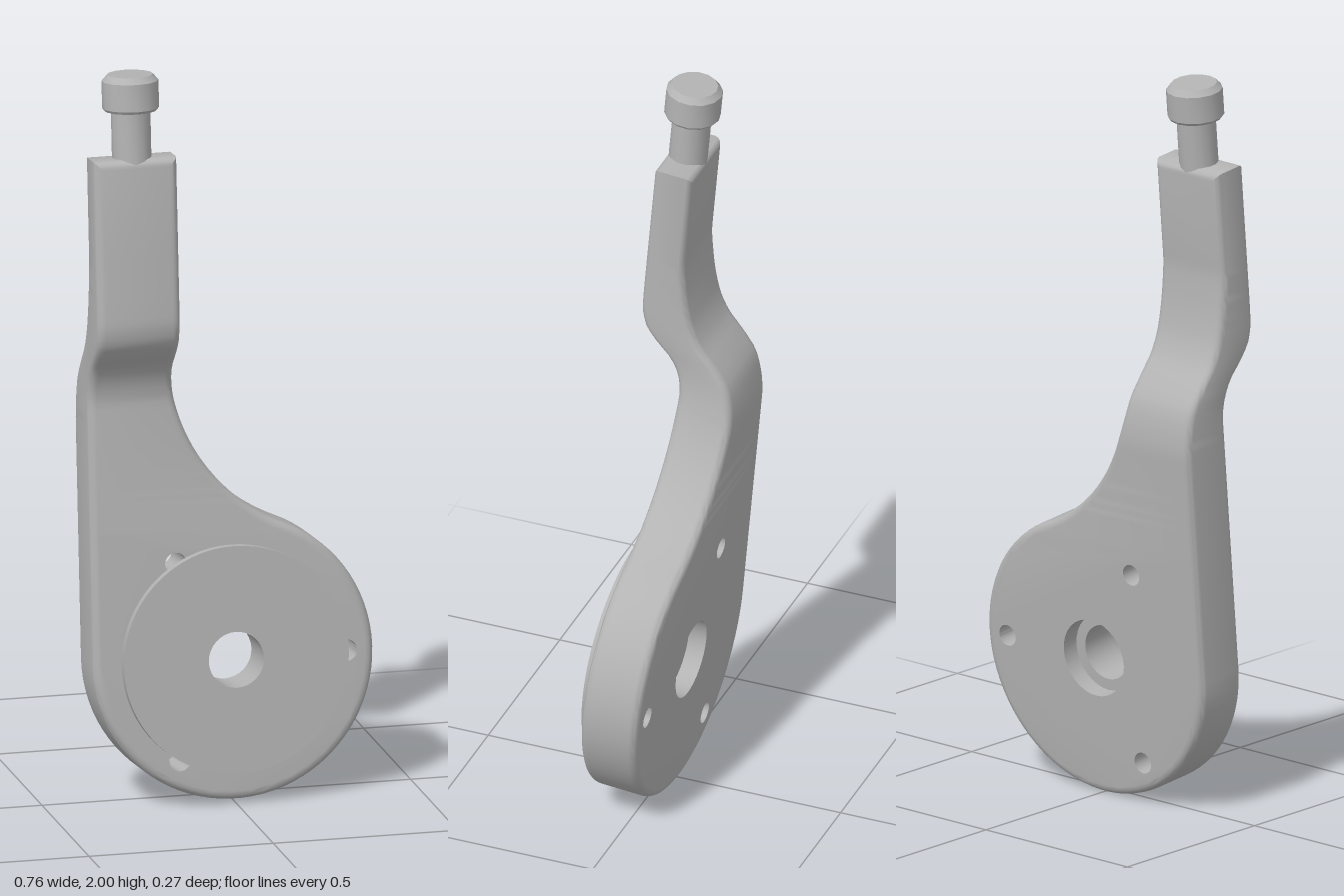
import * as THREE from 'three';
import { toCreasedNormals } from 'three/addons/utils/BufferGeometryUtils.js';

const R = 0.38;            // radius of the round end
const LEFT = -R, RIGHT = -0.155;
const TOP = 1.377;         // top of the arm
const FILLET = 0.5;        // concave sweep between arm and round end
const BEVEL = 0.022;
const Z_BACK = -0.076, Z_FRONT = 0.084;
const BORE = 0.075, COUNTERBORE = 0.106, STEP_Z = -0.026;

// Side profile of the bent arm: [height, z]
const FRONT = [[0.70, Z_FRONT], [0.742, 0.092], [0.797, 0.12], [0.847, 0.172], [0.886, 0.202], [0.938, 0.214], [1.01, 0.215]];
const BACK = [[0.63, Z_BACK], [0.671, -0.072], [0.749, -0.051], [0.807, -0.007], [0.858, 0.04], [0.924, 0.073], [1.027, 0.098], [1.11, 0.108]];

// Smooth monotone interpolation through a profile
function profile(pts, y) {
  const n = pts.length - 1;
  if (y <= pts[0][0]) return pts[0][1];
  if (y >= pts[n][0]) return pts[n][1];
  const slope = i => (pts[i + 1][1] - pts[i][1]) / (pts[i + 1][0] - pts[i][0]);
  const tangent = i => {
    if (i === 0 || i === n) return 0;
    const a = slope(i - 1), b = slope(i);
    return a * b > 0 ? 2 * a * b / (a + b) : 0;
  };
  let i = 0;
  while (y > pts[i + 1][0]) i++;
  const h = pts[i + 1][0] - pts[i][0], t = (y - pts[i][0]) / h, t2 = t * t, t3 = t2 * t;
  return (2 * t3 - 3 * t2 + 1) * pts[i][1] + (t3 - 2 * t2 + t) * h * tangent(i)
    + (3 * t2 - 2 * t3) * pts[i + 1][1] + (t3 - t2) * h * tangent(i + 1);
}

function circle(x, y, r, n) {
  return Array.from({ length: n }, (_, i) => {
    const a = i / n * Math.PI * 2;
    return new THREE.Vector2(x + r * Math.cos(a), y + r * Math.sin(a));
  });
}

function bodyGeometry() {
  const pos = [];
  const quad = (a, b, c, d) => { for (const p of [a, b, c, a, c, d]) pos.push(p.x, p.y, p.z); };

  // Outline, counter-clockwise: round end, right edge upwards, left edge downwards
  const cx = RIGHT + FILLET, cy = Math.sqrt((R + FILLET) ** 2 - cx ** 2);
  const join = Math.atan2(cy, cx);
  const rights = [];
  for (let i = 0; i <= 28; i++) {
    const a = Math.PI + join * (1 - i / 28);
    rights.push(new THREE.Vector2(cx + FILLET * Math.cos(a), cy + FILLET * Math.sin(a)));
  }
  for (let y = cy + 0.018; y < 1.13; y += 0.018) rights.push(new THREE.Vector2(RIGHT, y));
  rights.push(new THREE.Vector2(RIGHT, TOP));
  const lefts = rights.map(p => new THREE.Vector2(LEFT, p.y));
  const outline = [lefts[0]];
  const steps = 56;
  for (let i = 0; i < steps; i++) {
    const a = Math.PI + (Math.PI + join) * i / steps;
    outline.push(new THREE.Vector2(R * Math.cos(a), R * Math.sin(a)));
  }
  const corner = outline.length;
  outline.push(...rights, ...lefts.slice(1).reverse());
  const N = outline.length;

  // Mitred outward normals
  const edge = i => {
    const d = outline[(i + 1) % N].clone().sub(outline[i]).normalize();
    return new THREE.Vector2(d.y, -d.x);
  };
  const normals = outline.map((_, i) => {
    const a = edge((i + N - 1) % N), b = edge(i);
    return a.clone().add(b).divideScalar(1 + a.dot(b));
  });

  // Rings from the back face, round both edges, to the front face
  const S = 4, rings = [];
  for (let j = 0; j < 2 * (S + 1); j++) {
    const front = j > S;
    const phi = (front ? 2 * S + 1 - j : j) / S * Math.PI / 2;
    const inset = BEVEL * (1 - Math.sin(phi)), dz = BEVEL * (1 - Math.cos(phi));
    rings.push(outline.map((p, i) => {
      const q = p.clone().addScaledVector(normals[i], -inset);
      const z = front ? profile(FRONT, q.y) - dz : profile(BACK, q.y) + dz;
      return new THREE.Vector3(q.x, q.y, z);
    }));
  }
  for (let j = 0; j < rings.length - 1; j++) {
    for (let i = 0; i < N; i++) {
      const k = (i + 1) % N;
      quad(rings[j][i], rings[j][k], rings[j + 1][k], rings[j + 1][i]);
    }
  }

  // Faces: flat round end with holes, then strips following the bend
  const bolts = [0, 1, 2].map(i => [0.305 * Math.cos(i * Math.PI * 2 / 3), 0.305 * Math.sin(i * Math.PI * 2 / 3)]);
  const face = (ring, facing, centreRadius) => {
    const contour = ring.slice(0, corner + 1).map(p => new THREE.Vector2(p.x, p.y));
    const holes = [circle(0, 0, centreRadius, 32), ...bolts.map(([x, y]) => circle(x, y, 0.029, 20))];
    const all = [contour, ...holes].flat();
    for (const t of THREE.ShapeUtils.triangulateShape(contour, holes)) {
      const [a, b, c] = t.map(i => all[i]);
      const sign = (b.x - a.x) * (c.y - a.y) - (b.y - a.y) * (c.x - a.x);
      for (const p of sign * facing > 0 ? [a, b, c] : [a, c, b]) pos.push(p.x, p.y, ring[0].z);
    }
    for (let k = 0; k < rights.length - 1; k++) {
      const l0 = ring[(N - k) % N], l1 = ring[N - k - 1], r0 = ring[corner + k], r1 = ring[corner + k + 1];
      if (facing > 0) quad(l0, r0, r1, l1); else quad(l0, l1, r1, r0);
    }
  };
  face(rings[0], -1, COUNTERBORE);
  face(rings[rings.length - 1], 1, BORE);

  // Inward-facing hole walls and the counterbore step
  const band = (x, y, r0, z0, r1, z1, n) => {
    const a = circle(x, y, r0, n), b = circle(x, y, r1, n);
    const at = (p, z) => new THREE.Vector3(p.x, p.y, z);
    for (let i = 0; i < n; i++) {
      const k = (i + 1) % n;
      quad(at(a[i], z0), at(b[i], z1), at(b[k], z1), at(a[k], z0));
    }
  };
  band(0, 0, COUNTERBORE, Z_BACK, COUNTERBORE, STEP_Z, 32);
  band(0, 0, COUNTERBORE, STEP_Z, BORE, STEP_Z, 32);
  band(0, 0, BORE, STEP_Z, BORE, Z_FRONT, 32);
  for (const [x, y] of bolts) band(x, y, 0.029, Z_BACK, 0.029, Z_FRONT, 20);

  const g = new THREE.BufferGeometry();
  g.setAttribute('position', new THREE.Float32BufferAttribute(pos, 3));
  return toCreasedNormals(g, 0.6);
}

export function createModel() {
  const metal = new THREE.MeshStandardMaterial({ color: 0xb3b3b3 });
  metal.name = 'grey metal';
  const lever = new THREE.Group();
  lever.name = 'lever';
  const add = (name, geometry) => {
    const mesh = new THREE.Mesh(geometry, metal);
    mesh.name = name;
    lever.add(mesh);
    return mesh;
  };

  add('leverBody', bodyGeometry());

  // Raised disc on the front of the round end
  const disc = new THREE.Shape(circle(0, 0, 0.305, 64));
  disc.holes.push(new THREE.Path(circle(0, 0, BORE, 32)));
  const discGeometry = new THREE.ExtrudeGeometry(disc, { depth: 0.025, bevelEnabled: false });
  add('frontDisc', toCreasedNormals(discGeometry, 0.6)).position.z = Z_FRONT;

  // Stem and chamfered button on top of the arm
  const pin = [[0.052, 1.36], [0.052, 1.503], [0.07, 1.503], [0.075, 1.51], [0.075, 1.583], [0.061, 1.599], [0, 1.599]];
  const pinGeometry = new THREE.LatheGeometry(pin.map(p => new THREE.Vector2(...p)), 14);
  add('topPin', toCreasedNormals(pinGeometry, 0.5)).position.set(-0.267, 0, 0.161);

  // The whole lever leans slightly backwards
  lever.rotation.x = -THREE.MathUtils.degToRad(5);
  lever.position.y = 0.388;
  const model = new THREE.Group();
  model.name = 'controlLever';
  model.add(lever);
  return model;
}
